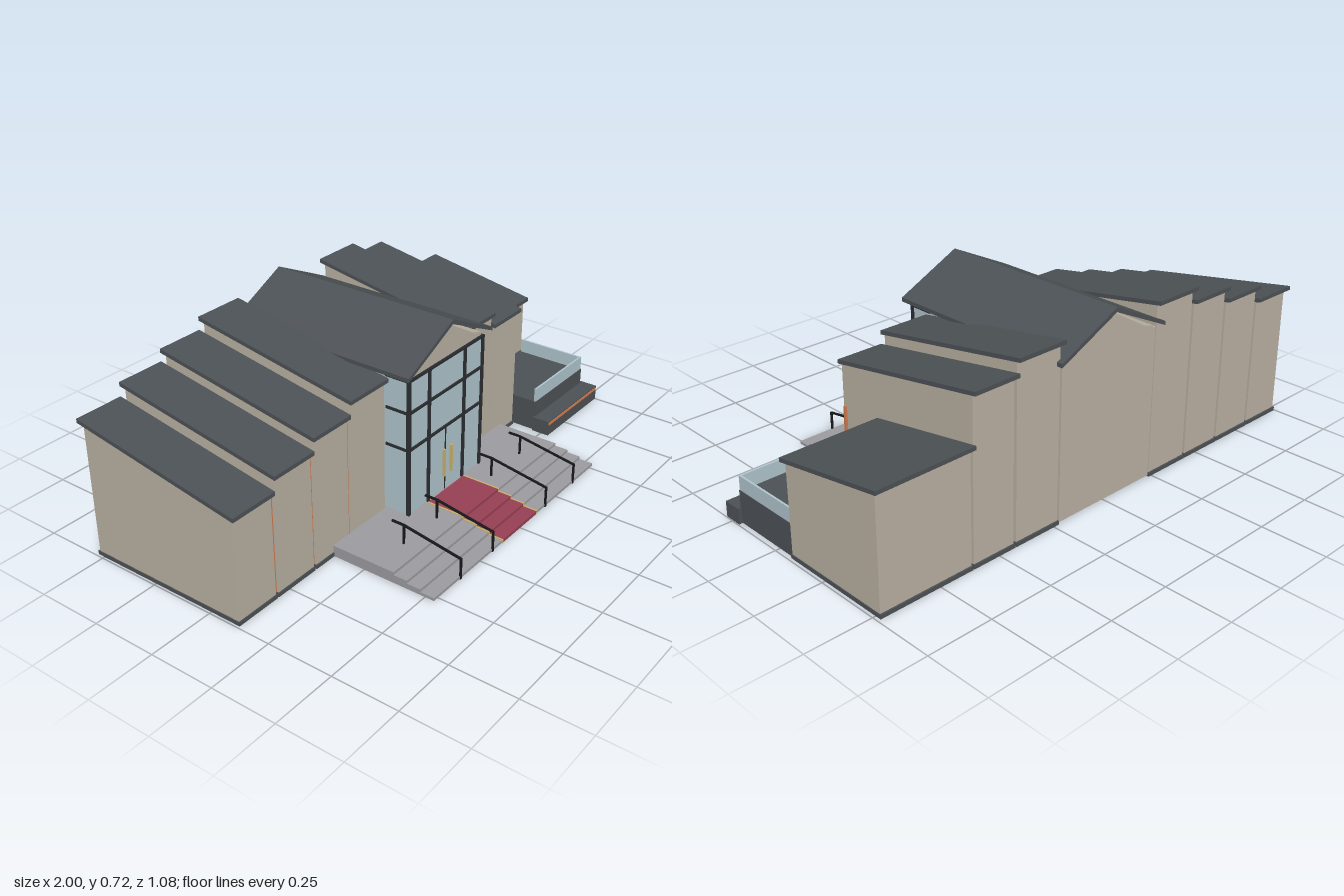
import * as THREE from 'three';

const mat = (name, color) => Object.assign(new THREE.MeshStandardMaterial({ color }), { name });

export function createModel() {
  const slate = mat('slate', 0x4c5155), wall = mat('beige wall', 0xb9b0a1), glass = mat('pale glass', 0xafc4cc);
  const frame = mat('dark frame', 0x2b2d31), stone = mat('step stone', 0x9b9a9f), red = mat('carpet red', 0x963f53);
  const orange = mat('copper orange', 0xd07a4c), gold = mat('gold', 0xc9b06a), black = mat('rail black', 0x17181a);

  const model = new THREE.Group();
  model.name = 'hall';

  const add = (parent, name, geometry, material) => {
    const mesh = new THREE.Mesh(geometry, material);
    mesh.name = name;
    parent.add(mesh);
    return mesh;
  };
  // box given by its limits on each axis
  const box = (parent, name, material, x0, x1, y0, y1, z0, z1) => {
    const g = new THREE.BoxGeometry(x1 - x0, y1 - y0, z1 - z0);
    g.translate((x0 + x1) / 2, (y0 + y1) / 2, (z0 + z1) / 2);
    return add(parent, name, g, material);
  };
  const extrude = (points, depth) => new THREE.ExtrudeGeometry(
    new THREE.Shape(points.map(([x, y]) => new THREE.Vector2(x, y))), { depth, bevelEnabled: false });
  // (z, y) profile extruded from x0 to x1
  const sideProfile = (parent, name, material, points, x0, x1) => {
    const g = extrude(points.map(([z, y]) => [-z, y]), x1 - x0);
    g.rotateY(Math.PI / 2);
    g.translate(x0, 0, 0);
    return add(parent, name, g, material);
  };
  // (x, y) profile extruded from z0 to z1
  const frontProfile = (parent, name, material, points, z0, z1) => {
    const g = extrude(points, z1 - z0);
    g.translate(0, 0, z0);
    return add(parent, name, g, material);
  };

  // Stepped side bays with single-pitch roofs: x0, x1, front eave height, front wall z
  const bays = [
    [-1, -0.81, 0.395, 0.12], [-0.81, -0.62, 0.448, 0.12], [-0.62, -0.432, 0.495, 0.12], [-0.432, -0.23, 0.545, 0.12],
    [0.227, 0.43, 0.545, 0.12], [0.43, 0.615, 0.495, 0.12], [0.613, 1, 0.35, -0.078],
  ];
  const slope = 0.172, backWall = -0.52, backRoof = -0.54;
  bays.forEach(([x0, x1, eave, zf]) => {
    const bay = new THREE.Group();
    bay.name = 'sideBay';
    model.add(bay);
    const eaveZ = zf + 0.014;
    const under = z => eave + (eaveZ - z) * slope;
    const a = x0 + (x0 === -1 ? 0.01 : 0.006), b = x1 - (x1 === 1 ? 0.013 : 0.006);
    sideProfile(bay, 'bayWall', wall,
      [[zf, 0.012], [zf, under(zf)], [backWall, under(backWall)], [backWall, 0.012]], a, b);
    // recessed filler behind the vertical joints
    sideProfile(bay, 'jointFiller', wall,
      [[zf - 0.02, 0.012], [zf - 0.02, under(zf - 0.02)], [backWall + 0.015, under(backWall + 0.015)], [backWall + 0.015, 0.012]],
      x0 + 0.011, x1 - 0.014);
    sideProfile(bay, 'bayRoof', slate,
      [[eaveZ, eave], [eaveZ, eave + 0.015], [backRoof, under(backRoof) + 0.015], [backRoof, under(backRoof)]], x0, x1);
    box(bay, 'plinth', slate, a - 0.003, b + 0.003, 0, 0.015, backWall - 0.006, zf + 0.004);
  });

  // Copper strips in the joints
  [[-0.808, 0.4], [-0.62, 0.45], [-0.432, 0.5], [-0.232, 0.55], [0.229, 0.55], [0.43, 0.5], [0.613, 0.345]]
    .forEach(([x, top]) => box(model, 'copperStrip', orange, x - 0.006, x + 0.005, 0.015, top, 0.104, 0.113));

  // Central hall, shifted slightly to the right
  const hall = new THREE.Group();
  hall.name = 'centralHall';
  hall.position.x = -0.004;
  model.add(hall);
  box(hall, 'hallBody', wall, -0.228, 0.228, 0.004, 0.58, backWall, 0.1);
  frontProfile(hall, 'hallGable', wall,
    [[-0.215, 0.574], [0.215, 0.574], [0.215, 0.588], [0.17, 0.6], [0, 0.7], [-0.17, 0.6], [-0.215, 0.588]], backWall, 0.212);
  // gable roof
  frontProfile(hall, 'hallRoof', slate,
    [[-0.252, 0.585], [0, 0.704], [0.252, 0.585], [0.252, 0.6], [0, 0.721], [-0.252, 0.6]], backRoof - 0.003, 0.237);

  // Glazed entrance
  box(hall, 'entranceGlass', glass, -0.222, 0.222, 0.042, 0.574, 0.1, 0.214);
  [-0.22, -0.105, 0.109, 0.221].forEach(x =>
    box(hall, 'mullion', frame, x - 0.006, x + 0.006, 0.042, 0.574, 0.208, 0.221));
  [0.304, 0.448, 0.57].forEach(y => {
    box(hall, 'transom', frame, -0.226, 0.226, y - 0.005, y + 0.005, 0.208, 0.22);
    [-1, 1].forEach(s => {
      const x = s * 0.222;
      box(hall, 'sideTransom', frame, x - 0.004, x + 0.004, y - 0.005, y + 0.005, 0.12, 0.21);
    });
  });
  box(hall, 'doorSplit', frame, -0.002, 0.002, 0.042, 0.3, 0.21, 0.217);
  [-0.021, 0.023].forEach(x =>
    box(hall, 'doorHandle', gold, x - 0.004, x + 0.004, 0.11, 0.22, 0.222, 0.231));

  // Entrance steps with carpet
  const stepEdges = [0.537, 0.482, 0.428, 0.374];
  const stairs = [[0.12, 0]];
  stepEdges.forEach((z, i) => stairs.push([z, i * 0.0105], [z, (i + 1) * 0.0105]));
  stairs.push([0.12, 0.042]);
  // keeps the run of treads below one closed outline
  const outline = [[0.12, 0], ...stairs.slice(1)];
  sideProfile(hall, 'steps', stone, outline, -0.52, 0.52);
  stepEdges.forEach((z, i) => {
    const top = (i + 1) * 0.0105, back = i < 3 ? stepEdges[i + 1] : 0.222;
    box(hall, 'carpet', red, -0.109, 0.109, top - 0.0105, top + 0.002, back, z + 0.002);
    [-1, 1].forEach(s => {
      const x = s * 0.1125;
      box(hall, 'carpetTrim', gold, x - 0.0035, x + 0.0035, top - 0.0105, top + 0.0025, back, z + 0.0025);
    });
  });

  // Handrails
  const bar = (parent, name, [z0, y0], [z1, y1]) => {
    const len = Math.hypot(z1 - z0, y1 - y0);
    const m = add(parent, name, new THREE.BoxGeometry(0.008, 0.006, len + 0.004), black);
    m.position.set(0, (y0 + y1) / 2, (z0 + z1) / 2);
    m.rotation.x = -Math.atan2(y1 - y0, z1 - z0);
  };
  [-0.368, -0.174, 0.174, 0.371].forEach(x => {
    const rail = new THREE.Group();
    rail.name = 'handrail';
    rail.position.x = x;
    hall.add(rail);
    bar(rail, 'railPost', [0.537, 0], [0.537, 0.078]);
    bar(rail, 'railPost', [0.304, 0.04], [0.304, 0.117]);
    bar(rail, 'railSlope', [0.538, 0.078], [0.304, 0.117]);
    bar(rail, 'railTop', [0.304, 0.117], [0.256, 0.117]);
  });

  // Terrace with glass balustrade and front planter
  const terrace = new THREE.Group();
  terrace.name = 'terrace';
  model.add(terrace);
  box(terrace, 'terraceBase', slate, 0.622, 0.983, 0, 0.125, -0.078, 0.217);
  box(terrace, 'frontBalustrade', glass, 0.624, 0.981, 0.125, 0.18, 0.207, 0.215);
  box(terrace, 'sideBalustrade', glass, 0.973, 0.981, 0.125, 0.18, -0.07, 0.207);
  box(terrace, 'planter', slate, 0.613, 0.998, 0, 0.06, 0.212, 0.284);
  box(terrace, 'planterStrip', orange, 0.616, 0.99, 0.045, 0.055, 0.28, 0.287);

  return model;
}
